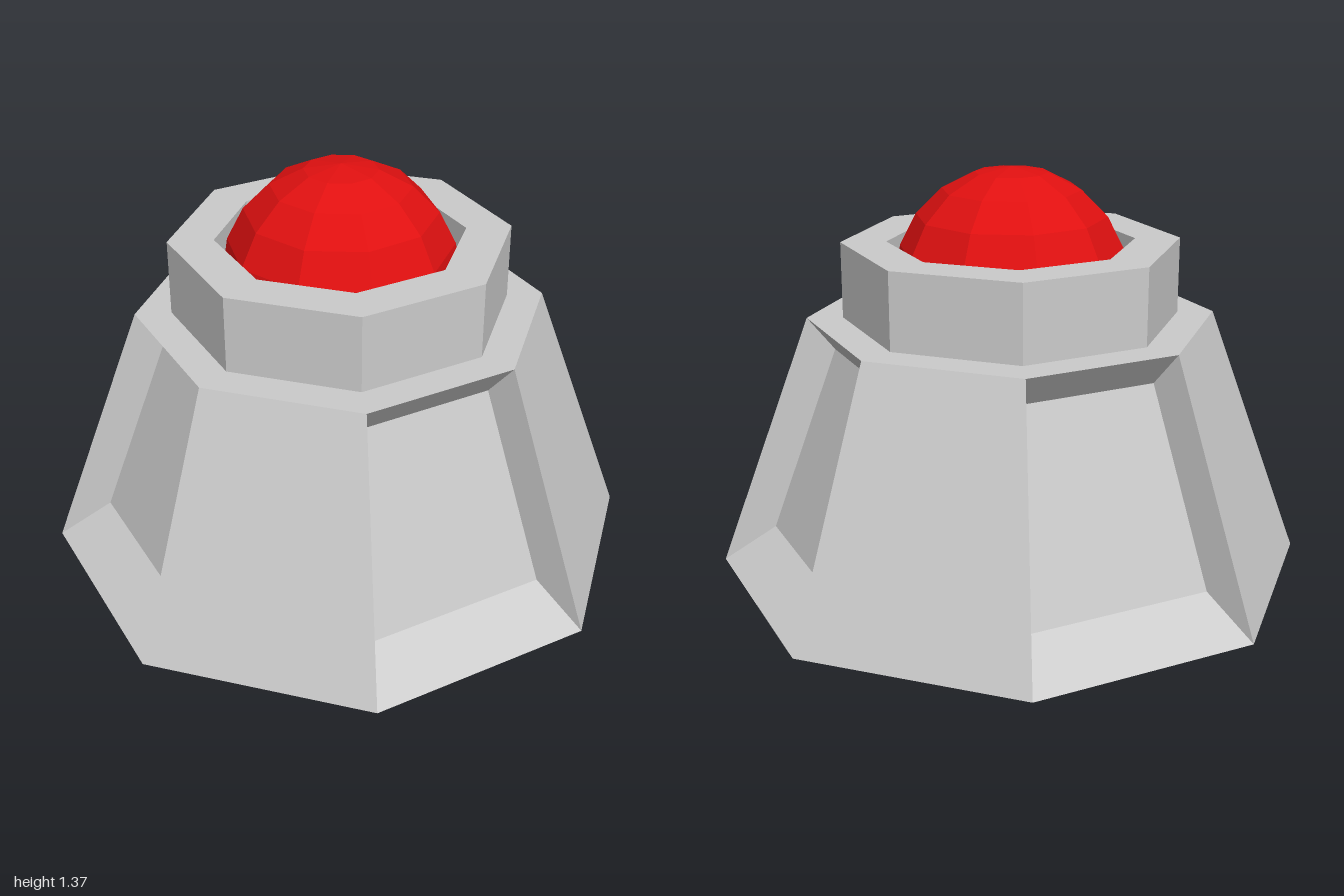
import * as THREE from 'three';

const SIDES = 8;
const grey = new THREE.MeshStandardMaterial({ color: 0xcccccc, flatShading: true });
const red = new THREE.MeshStandardMaterial({ color: 0xe01010, flatShading: true });

// Radius and height pairs: the sloping wall, and the sunken panel with its bevelled rims
const WALL = [[1, 0], [0.68, 0.87]];
const PANEL = [[1, 0], [0.82, 0.12], [0.59, 0.76], [0.68, 0.87]];

function corner([r, y], i) {
  const a = (i * 2 * Math.PI) / SIDES;
  return [r * Math.cos(a), y, r * Math.sin(a)];
}

// Sloping octagonal wall, every other side sunken
function wallGeometry() {
  const positions = [];
  const quad = (a, b, c, d) => positions.push(...a, ...b, ...c, ...a, ...c, ...d);
  for (let i = 0; i < SIDES; i++) {
    const sunken = i % 2 === 0;
    const profile = sunken ? PANEL : WALL;
    for (let k = 0; k < profile.length - 1; k++) {
      const low = profile[k], high = profile[k + 1];
      quad(corner(low, i + 1), corner(low, i), corner(high, i), corner(high, i + 1));
    }
    if (sunken) {
      // Radial cheeks on both sides of the recess
      const [b, ib, it, t] = PANEL;
      quad(corner(b, i), corner(t, i), corner(it, i), corner(ib, i));
      quad(...[b, ib, it, t].map((p) => corner(p, i + 1)));
    }
  }
  const geometry = new THREE.BufferGeometry();
  geometry.setAttribute('position', new THREE.Float32BufferAttribute(positions, 3));
  geometry.computeVertexNormals();
  return geometry;
}

function lathe(points) {
  return new THREE.LatheGeometry(points.map(([r, y]) => new THREE.Vector2(r, y)), SIDES);
}

export function createModel() {
  const group = new THREE.Group();
  const add = (name, geometry, material) => {
    const mesh = new THREE.Mesh(geometry, material);
    mesh.name = name;
    group.add(mesh);
    return mesh;
  };

  // Base
  add('baseWall', wallGeometry(), grey);
  add('baseUnderside', lathe([[0, 0], [1, 0]]), grey);
  add('baseTop', lathe([[0.68, 0.87], [0, 0.87]]), grey);

  // Octagonal collar with a socket for the dome
  add('collar', lathe([[0.56, 0.87], [0.56, 1.125], [0.41, 1.125], [0.41, 0.98], [0, 0.98]]), grey);

  // Faceted red dome
  const dome = new THREE.SphereGeometry(0.39, 10, 5, 0, Math.PI * 2, 0, Math.PI / 2);
  add('dome', dome, red).position.y = 0.98;

  return group;
}
